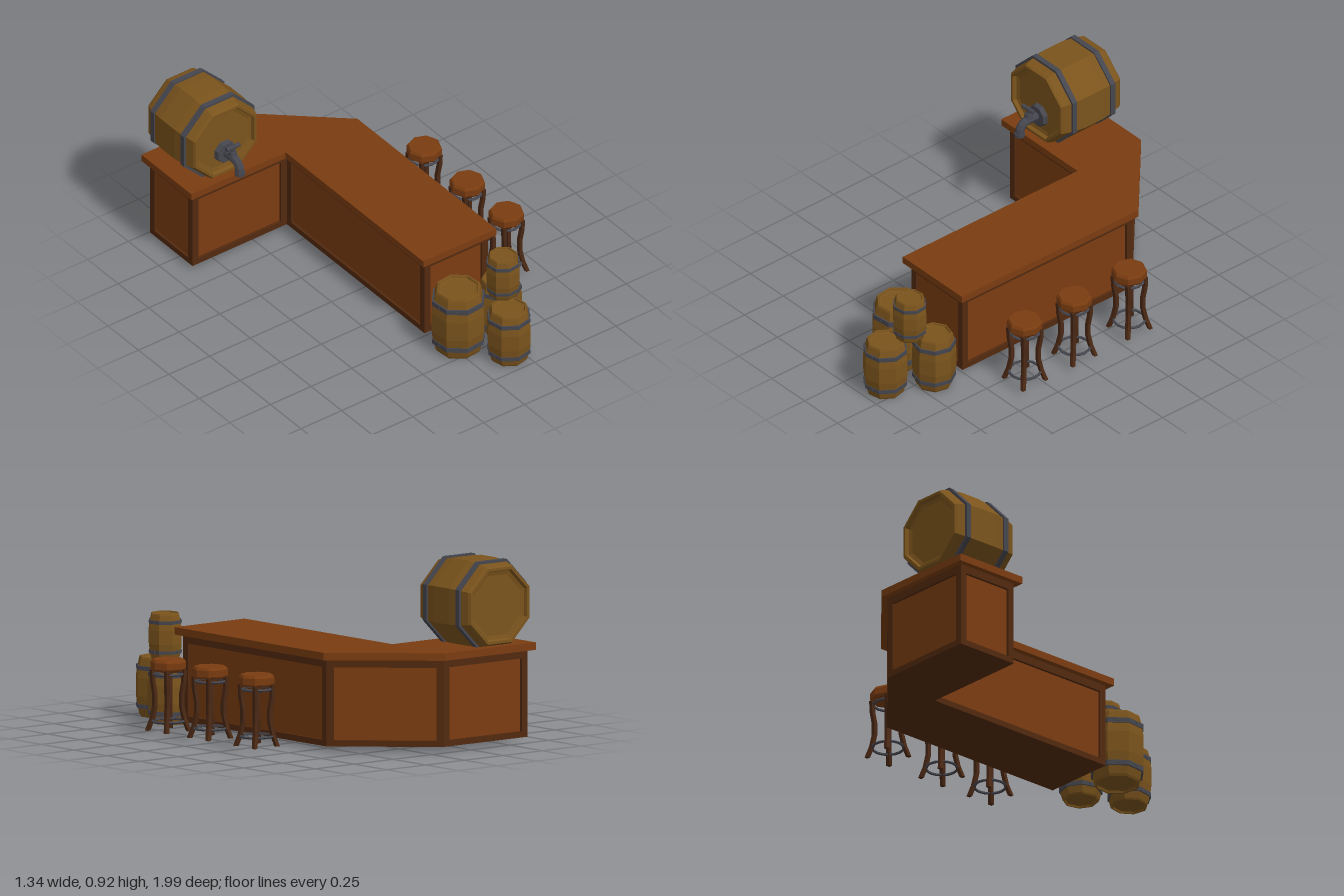
import * as THREE from 'three';

const mat = (color) => new THREE.MeshStandardMaterial({ color, flatShading: true });
const WOOD = mat(0x7a3c10), FRAME = mat(0x52290e), OAK = mat(0x7a531c);
const IRON = mat(0x45454e), LEG = mat(0x4a2814);

function add(parent, name, geometry, material, x = 0, y = 0, z = 0) {
  const mesh = new THREE.Mesh(geometry, material);
  mesh.name = name;
  mesh.position.set(x, y, z);
  parent.add(mesh);
  return mesh;
}

// Upright prism from a plan outline of [x, z] points
function prism(plan, y0, y1) {
  const shape = new THREE.Shape(plan.map(([x, z]) => new THREE.Vector2(x, -z)));
  const g = new THREE.ExtrudeGeometry(shape, { depth: y1 - y0, bevelEnabled: false });
  return g.rotateX(-Math.PI / 2).translate(0, y0, 0);
}

// Unit direction of the outline edge leaving point i
function edgeDir(plan, i) {
  const n = plan.length, a = plan[(i + n) % n], b = plan[(i + 1) % n];
  const l = Math.hypot(b[0] - a[0], b[1] - a[1]);
  return [(b[0] - a[0]) / l, (b[1] - a[1]) / l];
}

// Mitred inset of an outline
function inset(plan, d) {
  return plan.map(([x, z], i) => {
    const [ax, az] = edgeDir(plan, i - 1), [bx, bz] = edgeDir(plan, i);
    const k = d / (1 + ax * bx + az * bz);
    return [x - (az + bz) * k, z + (ax + bx) * k];
  });
}

// L-shaped counter with a cut corner, recessed panels, rails and corner posts
function counter() {
  const g = new THREE.Group();
  g.name = 'counter';
  const top = [[-0.67, -1], [-0.09, -1], [0.36, -0.6], [0.36, 0.54],
    [-0.09, 0.54], [-0.09, -0.59], [-0.67, -0.59]];
  const body = inset(top, 0.03), depth = 0.014, w = 0.036;
  const core = inset(body, depth);
  add(g, 'counterTop', prism(top, 0.458, 0.495), WOOD);
  add(g, 'panels', prism(core, 0.04, 0.44), WOOD);
  add(g, 'bottomRail', prism(body, 0.025, 0.055), FRAME);
  add(g, 'topRail', prism(body, 0.418, 0.459), FRAME);
  body.forEach(([x, z], i) => {
    const [ax, az] = edgeDir(body, i - 1), [bx, bz] = edgeDir(body, i);
    const p = [x - ax * w, z - az * w], q = [x + bx * w, z + bz * w];
    const post = [p, [x, z], q, [q[0] - bz * depth, q[1] + bx * depth], core[i],
      [p[0] - az * depth, p[1] + ax * depth]];
    add(g, 'cornerPost', prism(post, 0.05, 0.42), FRAME);
  });
  return g;
}

// Eight-sided barrel standing on its base: r is the widest corner radius,
// end the ratio of end radius to r
function barrel(name, r, h, end, bolts) {
  const g = new THREE.Group();
  g.name = name;
  const radiusAt = (t) => r * (end + (1 - end) * (1 - Math.pow(Math.abs(2 * t - 1), 2.2)));
  const lip = r * end, sink = r * 0.1;
  const pts = [[0, sink], [lip * 0.76, sink], [lip * 0.86, sink * 0.8], [lip * 0.89, 0], [lip * 0.96, 0]];
  for (const t of [0.03, 0.18, 0.35, 0.65, 0.82, 0.97]) pts.push([radiusAt(t) * 0.98, t * h]);
  pts.push([lip * 0.96, h], [lip * 0.89, h], [lip * 0.86, h - sink * 0.8], [lip * 0.76, h - sink], [0, h - sink]);
  const lathe = (p) => new THREE.LatheGeometry(p.map(([x, y]) => new THREE.Vector2(x, y)), 8, Math.PI / 8);
  add(g, 'staves', lathe(pts), OAK);
  for (const t of [0.18, 0.82]) {
    const y = t * h, s = h * 0.036, o = radiusAt(t) * 1.025, i = o * 0.9;
    add(g, 'hoop', lathe([[i, y - s], [o, y - s], [o, y + s], [i, y + s]]), IRON);
    if (!bolts) continue;
    for (let k = 0; k < 8; k++) {
      const a = k * Math.PI / 4, d = o * Math.cos(Math.PI / 8);
      add(g, 'bolt', new THREE.BoxGeometry(0.008, 0.008, 0.008), IRON,
        Math.sin(a) * d, y, Math.cos(a) * d).rotation.y = a;
    }
  }
  return g;
}

// Tap with plate, bent spout and cross handle; its origin is on the barrel end
function tap() {
  const g = new THREE.Group();
  g.name = 'tap';
  const plate = new THREE.CylinderGeometry(0.056, 0.064, 0.03, 8).rotateY(Math.PI / 8).rotateX(Math.PI / 2);
  add(g, 'tapPlate', plate, IRON, 0, 0, 0.008);
  const path = new THREE.CatmullRomCurve3([[0, 0], [0.003, 0.06], [-0.003, 0.1], [-0.025, 0.124], [-0.065, 0.13]]
    .map(([y, z]) => new THREE.Vector3(0, y, z)));
  add(g, 'spout', new THREE.TubeGeometry(path, 10, 0.023, 8), IRON);
  add(g, 'spoutLip', new THREE.CylinderGeometry(0.027, 0.027, 0.018, 8), IRON, 0, -0.06, 0.13);
  add(g, 'handleCollar', new THREE.CylinderGeometry(0.018, 0.024, 0.025, 8), IRON, 0, 0.028, 0.072);
  add(g, 'handleStem', new THREE.CylinderGeometry(0.009, 0.011, 0.06, 8), IRON, 0, 0.045, 0.072);
  add(g, 'handleBar', new THREE.CylinderGeometry(0.011, 0.011, 0.082, 8).rotateZ(Math.PI / 2), IRON, 0, 0.064, 0.072);
  return g;
}

// Square leg lofted through a curved path along one diagonal
function legGeometry() {
  const g = new THREE.BoxGeometry(0.02, 0.305, 0.02, 1, 5, 1);
  const offsets = [0.072, 0.056, 0.047, 0.047, 0.054, 0.056];
  const p = g.attributes.position;
  for (let i = 0; i < p.count; i++) {
    const level = Math.round((p.getY(i) / 0.305 + 0.5) * 5);
    p.setX(i, p.getX(i) + offsets[level]);
    p.setZ(i, p.getZ(i) + offsets[level]);
  }
  return g.translate(0, 0.1775, 0);
}

function stool(z) {
  const g = new THREE.Group();
  g.name = 'stool';
  g.position.set(0.583, 0, z);
  const profile = [[0, 0.325], [0.078, 0.325], [0.088, 0.337], [0.088, 0.37], [0.079, 0.383], [0, 0.383]];
  add(g, 'seat', new THREE.LatheGeometry(profile.map(([x, y]) => new THREE.Vector2(x, y)), 8), WOOD);
  for (let i = 0; i < 4; i++) add(g, 'stoolLeg', legGeometry(), LEG).rotation.y = i * Math.PI / 2;
  for (const [r, y] of [[0.072, 0.309], [0.079, 0.075]])
    add(g, 'legRing', new THREE.TorusGeometry(r, 0.007, 5, 16).rotateX(Math.PI / 2), IRON, 0, y, 0);
  return g;
}

export function createModel() {
  const model = new THREE.Group();
  model.name = 'tavernBar';
  model.add(counter());

  // Large cask lying on the short wing
  const cask = barrel('cask', 0.241, 0.385, 0.88, false);
  cask.rotation.x = Math.PI / 2;
  cask.position.set(-0.438, 0.7, -1);
  model.add(cask);
  const caskTap = tap();
  caskTap.position.set(-0.433, 0.63, -0.637);
  model.add(caskTap);

  // Stack of small barrels: x, base y, z, radius, height, turn
  for (const [x, y, z, r, h, turn] of [
    [0.03, 0, 0.667, 0.144, 0.36, 0.1],
    [0.29, 0, 0.66, 0.114, 0.298, -0.25],
    [0.18, 0, 0.882, 0.117, 0.298, 0.2],
    [0.23, 0.298, 0.767, 0.09, 0.232, 0.12],
  ]) {
    const b = barrel('smallBarrel', r, h, 0.81, true);
    b.position.set(x, y, z);
    b.rotation.y = turn;
    model.add(b);
  }

  for (const z of [-0.352, 0.003, 0.323]) model.add(stool(z));
  return model;
}
